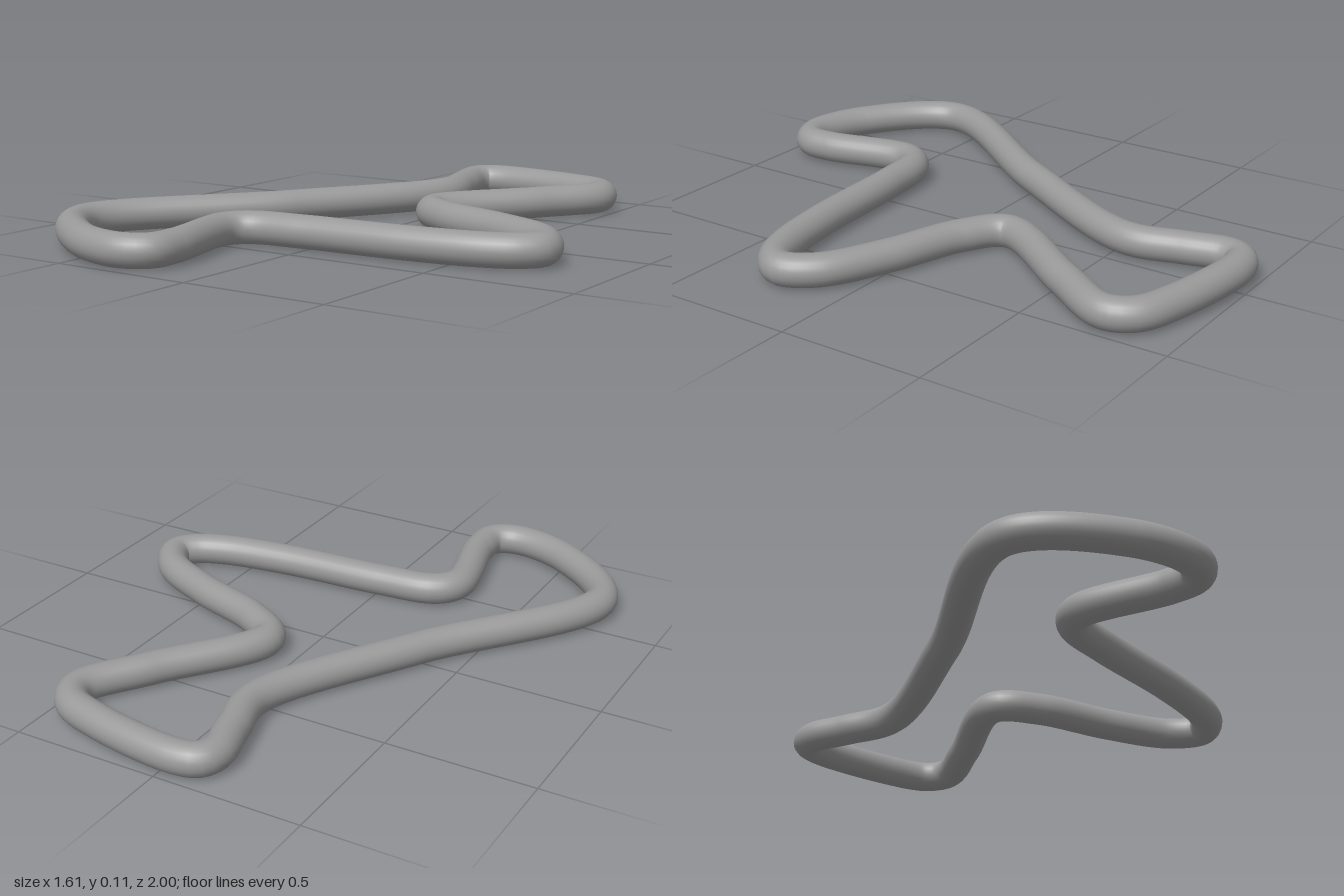
import * as THREE from 'three';

export function createModel() {
  const group = new THREE.Group();
  const radius = 0.055;

  // Centre line of the closed loop, as [x, z]
  const path = [
    [-0.115, -0.925], [-0.137, -0.87], [-0.105, -0.73], [-0.07, -0.54], [-0.36, 0],
    [-0.754, 0.62], [-0.51, 0.885], [-0.3, 0.945], [-0.215, 0.9], [-0.207, 0.8],
    [-0.265, 0.49], [-0.21, 0.42], [-0.02, 0.39], [0.35, 0.367], [0.6, 0.327],
    [0.705, 0.28], [0.748, 0.22], [0.69, 0.115], [0.48, 0.005], [0.22, -0.09],
    [0.1, -0.195], [0.32, -0.545], [0.447, -0.76], [0.41, -0.845], [0.27, -0.9],
    [-0.04, -0.945],
  ].map(([x, z]) => new THREE.Vector3(x, radius, z));
  const curve = new THREE.CatmullRomCurve3(path, true, 'centripetal');

  // Round tube swept along the loop
  const tube = new THREE.Mesh(
    new THREE.TubeGeometry(curve, 300, radius, 24, true),
    new THREE.MeshStandardMaterial({ color: 0x999999 })
  );
  tube.name = 'loopTube';
  group.add(tube);
  return group;
}
